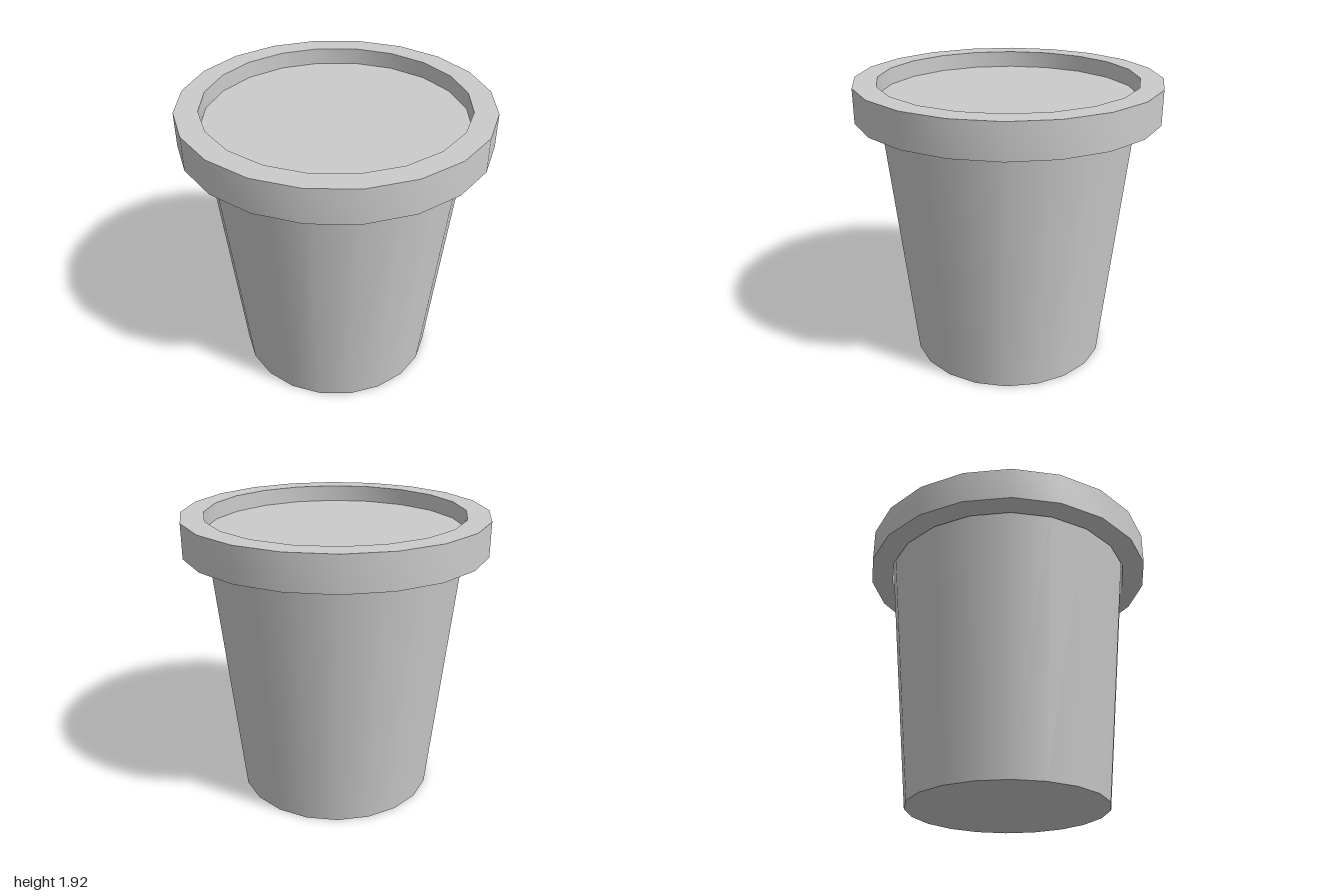
import * as THREE from 'three';
import { toCreasedNormals } from 'three/addons/utils/BufferGeometryUtils.js';

const SIDES = 20;

export function createModel() {
  const model = new THREE.Group();
  model.name = 'tub';
  const material = new THREE.MeshStandardMaterial({ color: 0xcccccc });

  // Tapered body; its top cap is the recessed floor inside the rim
  const bodyHeight = 1.815;
  const body = new THREE.Mesh(
    new THREE.CylinderGeometry(0.85, 0.667, bodyHeight, SIDES), material);
  body.name = 'body';
  body.position.y = bodyHeight / 2;
  model.add(body);

  // Raised lid rim: a closed rectangular ring
  const [inner, outer, low, high] = [0.85, 1, 1.7, 1.925];
  const profile = [
    [outer, low], [outer, high], [inner, high], [inner, low], [outer, low],
  ].map(([r, y]) => new THREE.Vector2(r, y));
  const rim = new THREE.Mesh(
    toCreasedNormals(new THREE.LatheGeometry(profile, SIDES), Math.PI / 6), material);
  rim.name = 'lidRim';
  model.add(rim);

  return model;
}
